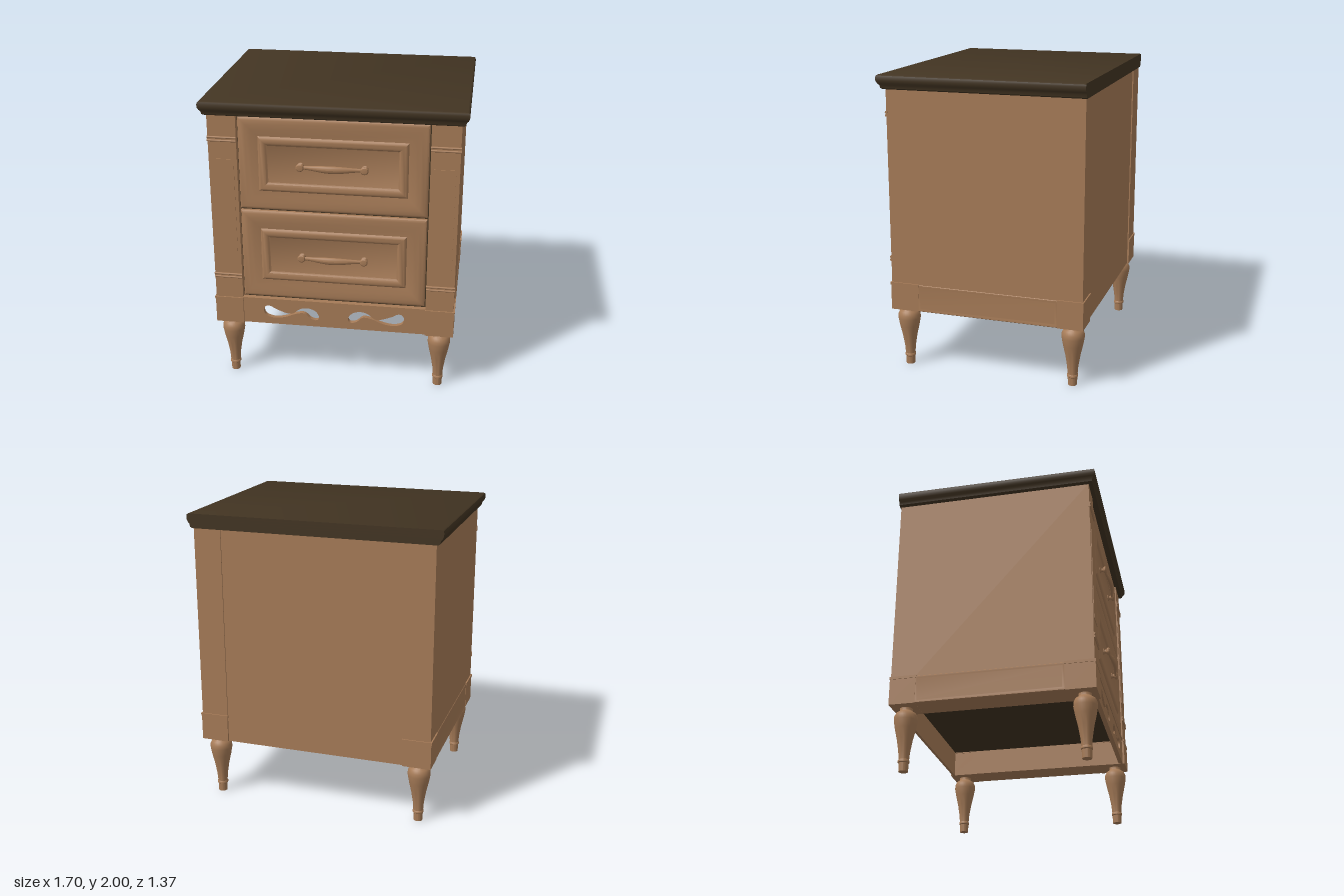
import * as THREE from 'three';
import { toCreasedNormals } from 'three/addons/utils/BufferGeometryUtils.js';

const material = (name, color) => Object.assign(new THREE.MeshStandardMaterial({ color }), { name });

// Stack of rectangles [x0, x1, y0, y1, z] joined along +z, closed at both ends
function loftRects(rings) {
  const pos = [];
  const corners = ([x0, x1, y0, y1, z]) => [[x0, y0, z], [x1, y0, z], [x1, y1, z], [x0, y1, z]];
  const quad = (a, b, c, d) => pos.push(...a, ...b, ...c, ...a, ...c, ...d);
  const loops = rings.map(corners);
  for (let i = 0; i < loops.length - 1; i++) {
    for (let j = 0; j < 4; j++) {
      const k = (j + 1) % 4;
      quad(loops[i][j], loops[i][k], loops[i + 1][k], loops[i + 1][j]);
    }
  }
  quad(...loops[loops.length - 1]);
  quad(...[...loops[0]].reverse());
  const g = new THREE.BufferGeometry();
  g.setAttribute('position', new THREE.Float32BufferAttribute(pos, 3));
  return toCreasedNormals(g, 0.6);
}

// Rectangle stepped inwards by a profile of [inset, z]
const panel = (x0, x1, y0, y1, profile) =>
  loftRects(profile.map(([d, z]) => [x0 + d, x1 - d, y0 + d, y1 - d, z]));

// Box given by its limits
function limits(x0, x1, y0, y1, z0, z1) {
  return new THREE.BoxGeometry(x1 - x0, y1 - y0, z1 - z0)
    .translate((x0 + x1) / 2, (y0 + y1) / 2, (z0 + z1) / 2);
}

const lathe = (pts, n = 32) =>
  toCreasedNormals(new THREE.LatheGeometry(pts.map(([r, y]) => new THREE.Vector2(r, y)), n), 0.7);

// Swelling, forward-bowed pull bar along x
function pullBar() {
  const g = new THREE.CylinderGeometry(1, 1, 0.42, 16, 24).rotateZ(Math.PI / 2);
  const p = g.attributes.position;
  for (let i = 0; i < p.count; i++) {
    const c = (1 + Math.cos((p.getX(i) / 0.21) * Math.PI)) / 2;
    const r = 0.011 + 0.014 * c;
    p.setY(i, p.getY(i) * r);
    p.setZ(i, p.getZ(i) * r * 0.65 + 0.652 + 0.018 * c);
  }
  g.computeVertexNormals();
  return g;
}

// Front apron with a mirrored pair of scroll cutouts
function apron() {
  const s = new THREE.Shape();
  s.moveTo(-0.62, 0.42);
  s.lineTo(0.62, 0.42);
  s.lineTo(0.62, 0.61);
  s.lineTo(-0.62, 0.61);
  s.closePath();
  const scroll = [[-0.44, 0.557], [-0.39, 0.532], [-0.29, 0.505], [-0.23, 0.546], [-0.177, 0.556],
    [-0.125, 0.538], [-0.099, 0.495], [-0.113, 0.47], [-0.156, 0.477], [-0.2, 0.514],
    [-0.256, 0.508], [-0.335, 0.477], [-0.415, 0.467], [-0.467, 0.487], [-0.48, 0.52], [-0.468, 0.55]];
  for (const m of [1, -1]) {
    const curve = new THREE.CatmullRomCurve3(scroll.map(([x, y]) => new THREE.Vector3(x * m, y, 0)), true);
    s.holes.push(new THREE.Path(curve.getPoints(64).slice(0, -1).map(v => new THREE.Vector2(v.x, v.y))));
  }
  return new THREE.ExtrudeGeometry(s, { depth: 0.03, bevelEnabled: false }).translate(0, 0, 0.6);
}

export function createModel() {
  const root = new THREE.Group();
  root.name = 'nightstand';
  const wood = material('wood', 0xa67b57);
  const dark = material('darkWood', 0x423422);
  const add = (name, geometry, mat = wood, parent = root) => {
    const m = new THREE.Mesh(geometry, mat);
    m.name = name;
    parent.add(m);
    return m;
  };

  // Moulded top, flush at the back
  const topProfile = [[0.815, 1.905], [0.828, 1.913], [0.832, 1.932], [0.843, 1.946],
    [0.85, 1.962], [0.851, 1.982], [0.847, 1.994], [0.838, 2]];
  add('top', loftRects(topProfile.map(([h, y]) => [-h, h, -(h - 0.164), 0.684, y])).rotateX(-Math.PI / 2), dark);

  // Inner carcass, back and apron
  add('carcass', limits(-0.618, 0.618, 0.6, 1.908, -0.655, 0.6), dark);
  add('backPanel', limits(-0.625, 0.625, 0.42, 1.91, -0.668, -0.65));
  add('apron', apron());
  add('apronTopRail', limits(-0.62, 0.62, 0.597, 0.613, 0.6, 0.636));

  const legProfile = [[0, 0], [0.03, 0], [0.032, 0.055], [0.037, 0.06], [0.037, 0.072], [0.033, 0.077],
    [0.037, 0.13], [0.05, 0.21], [0.066, 0.28], [0.076, 0.335], [0.075, 0.362], [0.064, 0.385],
    [0.045, 0.398], [0.041, 0.405], [0.043, 0.425]];

  for (const s of [1, -1]) {
    const side = new THREE.Group();
    side.name = s > 0 ? 'leftSide' : 'rightSide';
    root.add(side);
    const box = (name, x0, x1, ...rest) =>
      add(name, limits(Math.min(s * x0, s * x1), Math.max(s * x0, s * x1), ...rest), wood, side);

    box('sidePanel', 0.62, 0.806, 0.42, 1.91, -0.676, 0.638);

    // Pilaster details
    box('pilasterPanel', 0.642, 0.782, 0.91, 1.61, 0.63, 0.642);
    for (const y of [0.775, 1.745]) {
      box('pilasterBand', 0.62, 0.809, y - 0.016, y + 0.016, 0.63, 0.642);
      for (const d of [-0.011, 0.011]) {
        const bead = new THREE.CylinderGeometry(0.007, 0.007, 0.189, 10).rotateZ(Math.PI / 2);
        add('pilasterBead', bead.translate(s * 0.7145, y + d, 0.641), wood, side);
      }
    }

    // Corner blocks with caps, and legs
    for (const [z0, z1, legZ] of [[0.45, 0.644, 0.56], [-0.681, -0.51, -0.593]]) {
      box('cornerBlock', 0.62, 0.811, 0.419, 0.595, z0, z1);
      box('cornerBlockCap', 0.617, 0.815, 0.592, 0.61, z0 - 0.003, z1 + 0.003);
      add('leg', lathe(legProfile).translate(s * 0.715, 0, legZ), wood, side);
    }

    // Lower side rail with a sunk field
    const [a, b] = s > 0 ? [-0.455, 0.515] : [-0.515, 0.455];
    const rail = panel(a, b, 0.42, 0.605,
      [[0, 0.78], [0, 0.806], [0.003, 0.809], [0.013, 0.809], [0.02, 0.8067], [0.024, 0.8067]]);
    add('sideRail', rail.rotateY(s * Math.PI / 2), wood, side);
  }

  // Drawers with moulded fronts and bowed pulls
  const frontProfile = [[0, 0.59], [0, 0.618], [0.006, 0.626], [0.02, 0.632], [0.05, 0.634],
    [0.085, 0.629], [0.128, 0.621], [0.134, 0.627], [0.146, 0.635], [0.165, 0.635],
    [0.178, 0.63], [0.186, 0.622], [0.19, 0.62]];
  const knobProfile = [[0.022, 0], [0.022, 0.005], [0.013, 0.012], [0.013, 0.022],
    [0.025, 0.032], [0.027, 0.04], [0.02, 0.048], [0, 0.051]];
  for (const [name, y] of [['lowerDrawer', 0.942], ['upperDrawer', 1.583]]) {
    const drawer = new THREE.Group();
    drawer.name = name;
    drawer.position.y = y;
    root.add(drawer);
    add('drawerFront', panel(-0.612, 0.612, -0.314, 0.314, frontProfile), wood, drawer);
    add('pullBar', pullBar(), wood, drawer);
    for (const x of [-0.207, 0.207]) {
      add('pullKnob', lathe(knobProfile, 20).rotateX(Math.PI / 2).translate(x, 0, 0.618), wood, drawer);
    }
  }
  return root;
}
